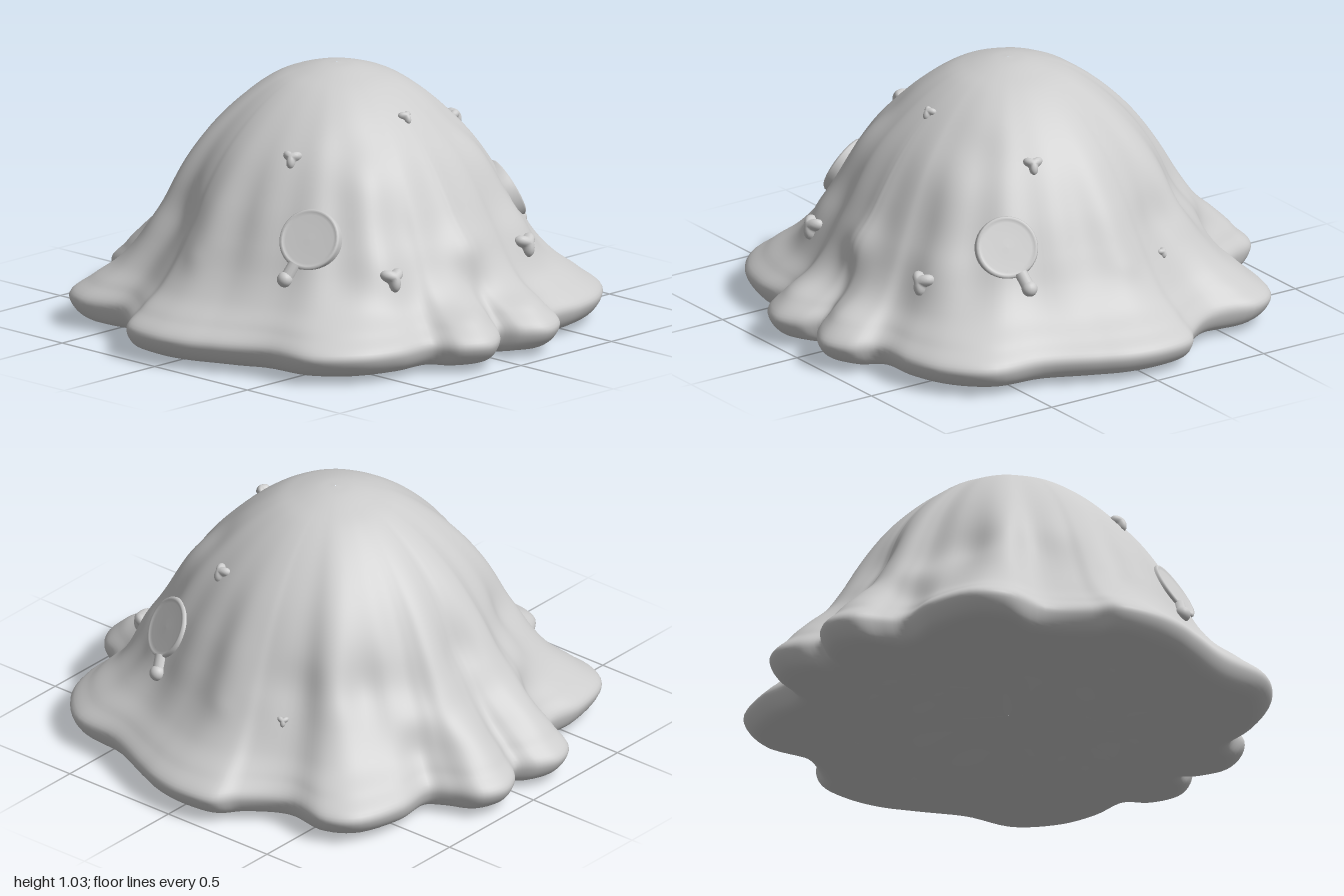
import * as THREE from 'three';

const V3 = (x, y, z) => new THREE.Vector3(x, y, z);

// Half of the scalloped hem outline in plan (x, z), front to back
const HEM = [
  [0, 0.87], [0.06, 0.94], [0.16, 0.99], [0.27, 0.94], [0.33, 0.845], [0.5, 0.83], [0.66, 0.775],
  [0.8, 0.635], [0.83, 0.42], [0.92, 0.22], [0.97, 0.1], [0.99, -0.04], [0.965, -0.19], [0.88, -0.26],
  [0.78, -0.42], [0.8, -0.61], [0.73, -0.73], [0.53, -0.79], [0.36, -0.78], [0.31, -0.85],
  [0.26, -0.96], [0.16, -1.0], [0.07, -0.97], [0, -0.91],
];

// Profile from crown to underside: radius, height, how much the hem scallops show
const PROFILE = [
  [0.003, 1.034, 0], [0.07, 1.029, 0], [0.15, 1.01, 0.03], [0.24, 0.975, 0.08], [0.36, 0.89, 0.15],
  [0.485, 0.76, 0.22], [0.59, 0.6, 0.27], [0.66, 0.46, 0.33], [0.71, 0.35, 0.41], [0.765, 0.255, 0.58],
  [0.83, 0.18, 0.83], [0.88, 0.11, 1], [0.85, 0.045, 0.95], [0.74, 0.018, 0.8], [0.5, 0.035, 0.4],
  [0.25, 0.055, 0.1], [0.003, 0.06, 0],
];

// Soft swellings and hollows, mirrored in x: position, reach, height
const BUMPS = [
  [0, 0.4, 0.69, 0.1, 0.035], [0.16, 0.2, 0.88, 0.1, 0.03], [0.16, 0.27, -0.84, 0.13, 0.04],
  [0.3, 0.36, -0.68, 0.09, 0.035], [0.42, 0.5, -0.52, 0.12, -0.03], [0, 0.55, -0.65, 0.1, -0.02],
  [0.72, 0.37, -0.05, 0.05, 0.005], [0.3, 0.83, 0.37, 0.1, -0.01], [0.62, 0.5, -0.3, 0.12, -0.025],
  [0.77, 0.22, 0.42, 0.12, 0.01], [0.62, 0.22, 0.66, 0.14, 0.01], [0.37, 0.38, 0.62, 0.13, 0.025],
  [0.28, 0.68, 0.48, 0.14, 0.015],
];

function drapeGeometry() {
  const mirrored = HEM.slice(1, -1).reverse().map(([x, z]) => [-x, z]);
  const hem = new THREE.CatmullRomCurve3([...HEM, ...mirrored].map(([x, z]) => V3(x, 0, z)), true);
  const profile = new THREE.CatmullRomCurve3(PROFILE.map((p) => V3(...p)));
  const cols = 240, rows = 110;
  const pos = [], index = [];
  for (let j = 0; j <= rows; j++) {
    const p = profile.getPoint(j / rows);
    const under = j / rows > 0.76;
    for (let i = 0; i < cols; i++) {
      const h = hem.getPoint(i / cols);
      const R = Math.hypot(h.x, h.z);
      const a = Math.abs(Math.atan2(h.x, h.z));
      // The front lobes fade sooner up the dome than the others
      const scallop = Math.pow(Math.max(0, p.z), 1 + Math.exp(-((a / 0.4) ** 2)));
      let r = p.x * (1 + scallop * (R / 0.88 - 1));
      let y = p.y;
      if (under) {
        // Lumpy underside
        const k = Math.min(1, (j / rows - 0.76) * 8);
        const x = Math.abs(h.x / R * r), z = h.z / R * r;
        y += k * 0.02 * Math.sin(14 * x + 2 * Math.sin(7 * z)) * Math.sin(13 * z + 1.5 + 2 * Math.sin(5 * x));
      } else {
        // Cloth folds running down from the crown
        const fold = Math.exp(-(((p.y - 0.5) / 0.25) ** 2));
        r += fold * (0.007 * Math.cos(11 * a + 0.4) + 0.006 * Math.cos(19 * a + 1));
      }
      const v = V3(h.x / R * r, y, h.z / R * r);
      const out = V3(h.x / R, 0.5, h.z / R).normalize();
      let push = 0;
      if (!under) {
        for (const [bx, by, bz, reach, amp] of BUMPS) {
          const d2 = (Math.abs(v.x) - bx) ** 2 + (v.y - by) ** 2 + (v.z - bz) ** 2;
          push += amp * Math.exp(-d2 / (reach * reach));
        }
      }
      v.addScaledVector(out, push);
      pos.push(v.x, v.y, v.z);
      if (j < rows) {
        const n = (i + 1) % cols, A = j * cols, B = A + cols;
        index.push(A + i, B + i, B + n, A + i, B + n, A + n);
      }
    }
  }
  const g = new THREE.BufferGeometry();
  g.setAttribute('position', new THREE.Float32BufferAttribute(pos, 3));
  g.setIndex(index);
  g.computeBoundingBox();
  const b = g.boundingBox;
  g.translate(0, -b.min.y, -(b.min.z + b.max.z) / 2);
  g.computeVertexNormals();
  return g;
}

export function createModel() {
  const model = new THREE.Group();
  const grey = new THREE.MeshStandardMaterial({ color: 0xcccccc });
  grey.name = 'clay grey';

  const add = (parent, name, geometry) => {
    const m = new THREE.Mesh(geometry, grey);
    m.name = name;
    parent.add(m);
    return m;
  };

  const cloth = drapeGeometry();
  add(model, 'drapedDome', cloth);

  // Nearest point and normal on the cloth
  const P = cloth.attributes.position, N = cloth.attributes.normal;
  const anchor = (x, y, z) => {
    const target = V3(x, y, z), v = V3();
    let best = 0, bestD = Infinity;
    for (let i = 0; i < P.count; i++) {
      const d = v.fromBufferAttribute(P, i).distanceToSquared(target);
      if (d < bestD) { bestD = d; best = i; }
    }
    return { p: V3().fromBufferAttribute(P, best), n: V3().fromBufferAttribute(N, best).normalize() };
  };

  // Soft three-cornered knob standing on the cloth
  const addKnob = (name, x, y, z, size) => {
    const { p, n } = anchor(x, y, z);
    const geometry = new THREE.SphereGeometry(size, 30, 16);
    const q = geometry.attributes.position;
    for (let i = 0; i < q.count; i++) {
      const a = Math.atan2(q.getY(i), q.getX(i));
      const k = 0.76 + 0.24 * Math.cos(3 * (a + Math.PI / 2));
      q.setXYZ(i, q.getX(i) * k, q.getY(i) * k, q.getZ(i) * 0.7);
    }
    geometry.computeVertexNormals();
    const knob = add(model, name, geometry);
    knob.position.copy(p);
    knob.lookAt(p.clone().add(n));
  };

  addKnob('crownKnob', 0, 0.865, 0.36, 0.032);
  addKnob('leftRearKnob', 0.67, 0.38, -0.28, 0.025);
  for (const s of [1, -1]) {
    const side = s > 0 ? 'left' : 'right';
    addKnob(side + 'FrontKnob', s * 0.375, 0.365, 0.68, 0.055);
    addKnob(side + 'UpperKnob', s * 0.47, 0.78, 0.2, 0.042);

    // Shallow round disc
    const { p } = anchor(s * 0.565, 0.495, 0.41);
    const n = V3(s * 0.8, 0.46, 0.38).normalize();
    const disc = add(model, side + 'Disc', new THREE.LatheGeometry(
      [[0.122, -0.035], [0.122, -0.002], [0.117, 0.006], [0.108, 0.005], [0.097, 0], [0, 0.002]]
        .map(([x, y]) => new THREE.Vector2(x, y)), 40));
    disc.position.copy(p);
    disc.quaternion.setFromUnitVectors(V3(0, 1, 0), n);

    // Tail running from the disc rim to a small bead
    const bead = anchor(s * 0.65, 0.345, 0.35);
    const start = p.clone().lerp(bead.p, 0.6);
    const path = new THREE.CatmullRomCurve3([start, start.clone().lerp(bead.p, 0.5), bead.p]);
    add(model, side + 'DiscTail', new THREE.TubeGeometry(path, 10, 0.026, 12));
    const ball = add(model, side + 'DiscBead', new THREE.SphereGeometry(0.031, 18, 12));
    ball.position.copy(bead.p).addScaledVector(bead.n, 0.006);
  }
  return model;
}
